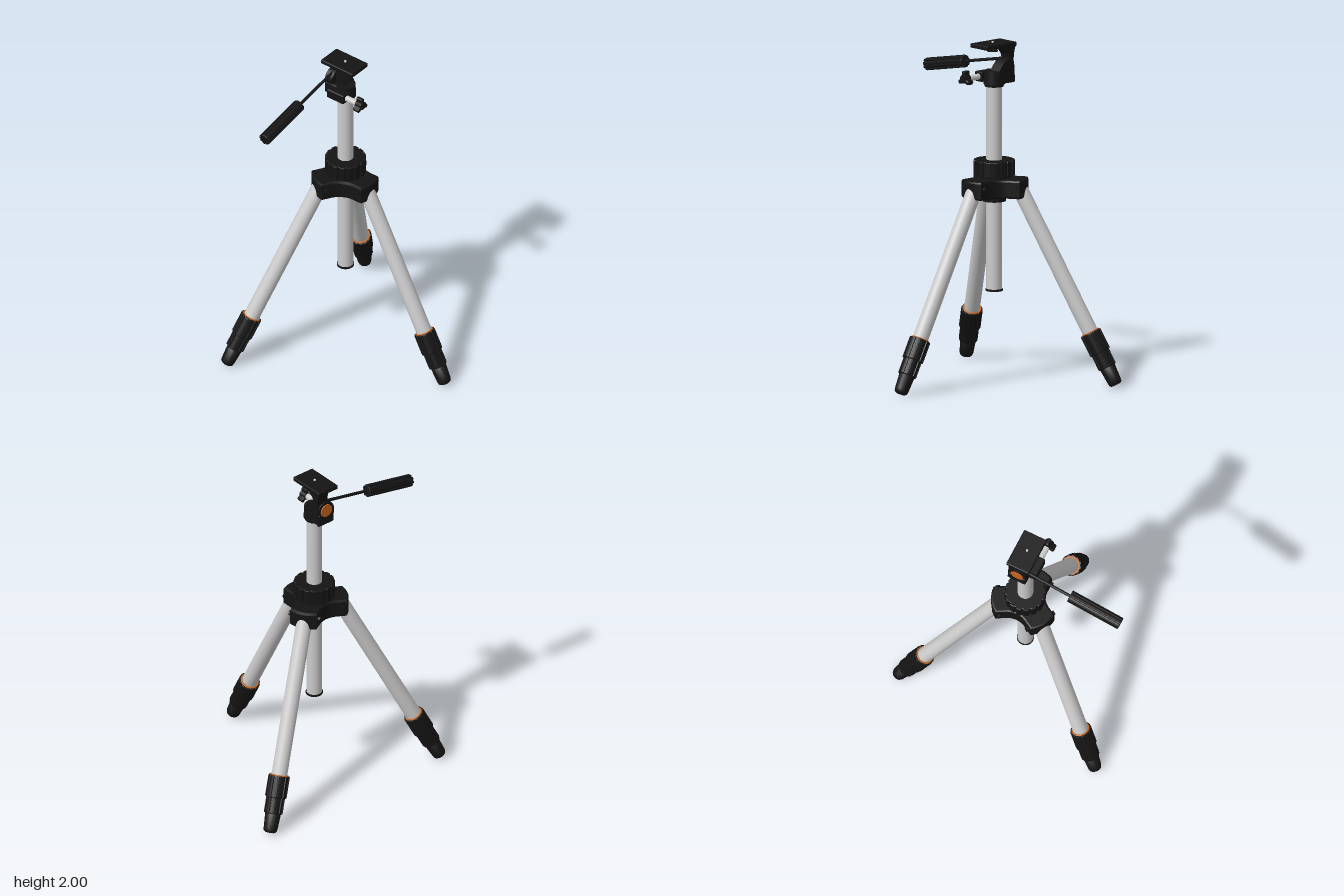
import * as THREE from 'three';
import { RoundedBoxGeometry } from 'three/addons/geometries/RoundedBoxGeometry.js';

const metal = new THREE.MeshStandardMaterial({ color: 0xcccccc });
const black = new THREE.MeshStandardMaterial({ color: 0x141414 });
const orange = new THREE.MeshStandardMaterial({ color: 0xc8641e });

function add(parent, name, geometry, material, x = 0, y = 0, z = 0) {
  const mesh = new THREE.Mesh(geometry, material);
  mesh.name = name;
  mesh.position.set(x, y, z);
  parent.add(mesh);
  return mesh;
}
const cyl = (rTop, rBottom, h, n = 32) => new THREE.CylinderGeometry(rTop, rBottom, h, n);
const box = (w, h, d, r = 0.008) => new RoundedBoxGeometry(w, h, d, 2, r);

// Upright prism with bevelled rims, centred on its height
function prism(shape, h, bevel = 0.005) {
  const g = new THREE.ExtrudeGeometry(shape, {
    depth: h - 2 * bevel, bevelEnabled: true, bevelThickness: bevel,
    bevelSize: bevel, bevelOffset: -bevel, bevelSegments: 2, curveSegments: 8,
  });
  g.translate(0, 0, bevel - h / 2);
  return g.rotateX(-Math.PI / 2);
}

// Round grip outline with n shallow grooves
function fluted(r, groove, n, h) {
  const pts = [];
  for (let i = 0; i < n; i++) {
    [[0, 0], [0.3, 0], [0.62, 0], [0.7, groove], [0.92, groove]].forEach(([f, d]) => {
      const a = ((i + f) / n) * Math.PI * 2;
      pts.push(new THREE.Vector2(Math.cos(a) * (r - d), Math.sin(a) * (r - d)));
    });
  }
  return prism(new THREE.Shape(pts), h);
}

// Three-armed hub outline with slightly bowed arm ends
function hubShape() {
  const s = new THREE.Shape();
  const at = (k, r, t) => {
    const a = (k * Math.PI * 2) / 3;
    return [r * Math.cos(a) - t * Math.sin(a), r * Math.sin(a) + t * Math.cos(a)];
  };
  s.moveTo(...at(0, 0.18, -0.083));
  for (let k = 0; k < 3; k++) {
    s.quadraticCurveTo(...at(k, 0.22, 0), ...at(k, 0.18, 0.083));
    s.lineTo(...at(k, 0.115, 0.083));
    s.quadraticCurveTo(...at(k + 0.5, 0.1, 0), ...at(k + 1, 0.115, -0.083));
    s.lineTo(...at(k + 1, 0.18, -0.083));
  }
  return s;
}

function makeLeg() {
  const leg = new THREE.Group();
  leg.name = 'leg';
  const tilt = new THREE.Group();
  tilt.position.set(0.155, 1.14, 0);
  tilt.rotation.z = THREE.MathUtils.degToRad(27.5);
  leg.add(tilt);
  add(tilt, 'legTube', cyl(0.046, 0.046, 0.95), metal, 0, -0.475);
  add(tilt, 'legTubeTop', new THREE.SphereGeometry(0.046, 24, 12), metal);
  const ring = add(tilt, 'legRing', new THREE.TorusGeometry(0.05, 0.005, 8, 32), orange, 0, -0.929);
  ring.rotation.x = Math.PI / 2;
  add(tilt, 'legSleeve', fluted(0.063, 0.005, 12, 0.13), black, 0, -0.995);
  add(tilt, 'lowerSleeve', fluted(0.055, 0.005, 12, 0.1), black, 0, -1.105);
  // Rubber foot with rounded tip
  const foot = [[0, 0], [0.028, 0], [0.038, 0.008], [0.041, 0.025], [0.047, 0.125], [0, 0.125]];
  add(tilt, 'foot', new THREE.LatheGeometry(foot.map((p) => new THREE.Vector2(...p)), 16), black, 0, -1.268);
  // Hinge pin through the hub arm
  const pin = add(leg, 'hingePin', cyl(0.014, 0.014, 0.196, 12), black, 0.155, 1.155);
  pin.rotation.x = Math.PI / 2;
  return leg;
}

// Panning head; x and z measured from the column axis
function makeHead() {
  const head = new THREE.Group();
  head.name = 'head';
  add(head, 'headRing', cyl(0.058, 0.055, 0.02), black, 0, 1.746);
  add(head, 'headBase', cyl(0.058, 0.062, 0.08), black, 0, 1.79);
  add(head, 'headBlock', box(0.115, 0.075, 0.11), black, -0.055, 1.79);
  add(head, 'clampBlock', box(0.125, 0.06, 0.06), black, 0, 1.79, 0.07);

  // Curved side bracket carrying the plate
  const s = new THREE.Shape();
  s.moveTo(-0.11, 1.755);
  s.lineTo(0.02, 1.82);
  s.quadraticCurveTo(-0.015, 1.885, -0.07, 1.9);
  s.quadraticCurveTo(-0.065, 1.945, 0.005, 1.972);
  s.lineTo(-0.115, 1.972);
  s.quadraticCurveTo(-0.09, 1.91, -0.103, 1.85);
  s.closePath();
  const g = new THREE.ExtrudeGeometry(s, { depth: 0.075, bevelEnabled: false, curveSegments: 10 });
  add(head, 'bracket', g, black, 0, 0, -0.06);

  // Tilt joint with coloured cap
  const joint = add(head, 'tiltJoint', cyl(0.057, 0.057, 0.05), black, -0.082, 1.845);
  const cap = add(head, 'tiltCap', cyl(0.04, 0.04, 0.012), orange, -0.108, 1.845);
  joint.rotation.z = cap.rotation.z = Math.PI / 2;

  add(head, 'mountPlate', box(0.235, 0.026, 0.146, 0.006), black, -0.002, 1.979, 0.008);
  add(head, 'plateScrew', cyl(0.007, 0.007, 0.06, 12), metal, 0.005, 1.97, 0.008);
  add(head, 'screwDisc', cyl(0.032, 0.032, 0.008, 20), black, 0.005, 1.945, 0.008);

  // Side lock: shaft and winged knob
  const shaft = add(head, 'lockShaft', cyl(0.018, 0.018, 0.12, 20), metal, 0.1, 1.79, 0.067);
  shaft.rotation.z = Math.PI / 2;
  const hubKnob = add(head, 'lockKnob', cyl(0.026, 0.022, 0.045, 20), black, 0.162, 1.79, 0.067);
  hubKnob.rotation.z = -Math.PI / 2;
  for (let i = 0; i < 3; i++) {
    const wing = new THREE.Group();
    wing.name = 'lockWing';
    wing.position.set(0.162, 1.79, 0.067);
    wing.rotation.x = (i * Math.PI * 2) / 3;
    add(wing, 'lockWingBlade', box(0.045, 0.048, 0.024), black, 0, 0.024);
    head.add(wing);
  }

  // Pan handle sloping down toward the front
  const handle = new THREE.Group();
  handle.name = 'panHandle';
  handle.position.set(-0.078, 1.888, 0.02);
  handle.rotation.x = Math.PI / 2 + 0.192;
  add(handle, 'handleRod', cyl(0.009, 0.009, 0.34, 12), black, 0, 0.17);
  add(handle, 'handleGrip', fluted(0.037, 0.006, 9, 0.335), black, 0, 0.482);
  head.add(handle);
  return head;
}

export function createModel() {
  const model = new THREE.Group();
  model.name = 'tripod';
  const body = new THREE.Group();
  body.name = 'body';
  body.position.x = -0.185;
  model.add(body);

  // Centre column
  add(body, 'column', cyl(0.046, 0.046, 1.21), metal, 0, 1.14);
  add(body, 'columnCap', cyl(0.05, 0.05, 0.012), black, 0, 0.536);

  // Hub and collar
  add(body, 'hub', prism(hubShape(), 0.11, 0.012), black, 0, 1.145);
  add(body, 'hubCore', cyl(0.075, 0.068, 0.14), black, 0, 1.13);
  add(body, 'collarNeck', cyl(0.09, 0.09, 0.03), black, 0, 1.205);
  add(body, 'collar', fluted(0.12, 0.008, 16, 0.095), black, 0, 1.257);

  for (let i = 0; i < 3; i++) {
    const leg = makeLeg();
    leg.rotation.y = (i * Math.PI * 2) / 3;
    body.add(leg);
  }
  body.add(makeHead());
  return model;
}
